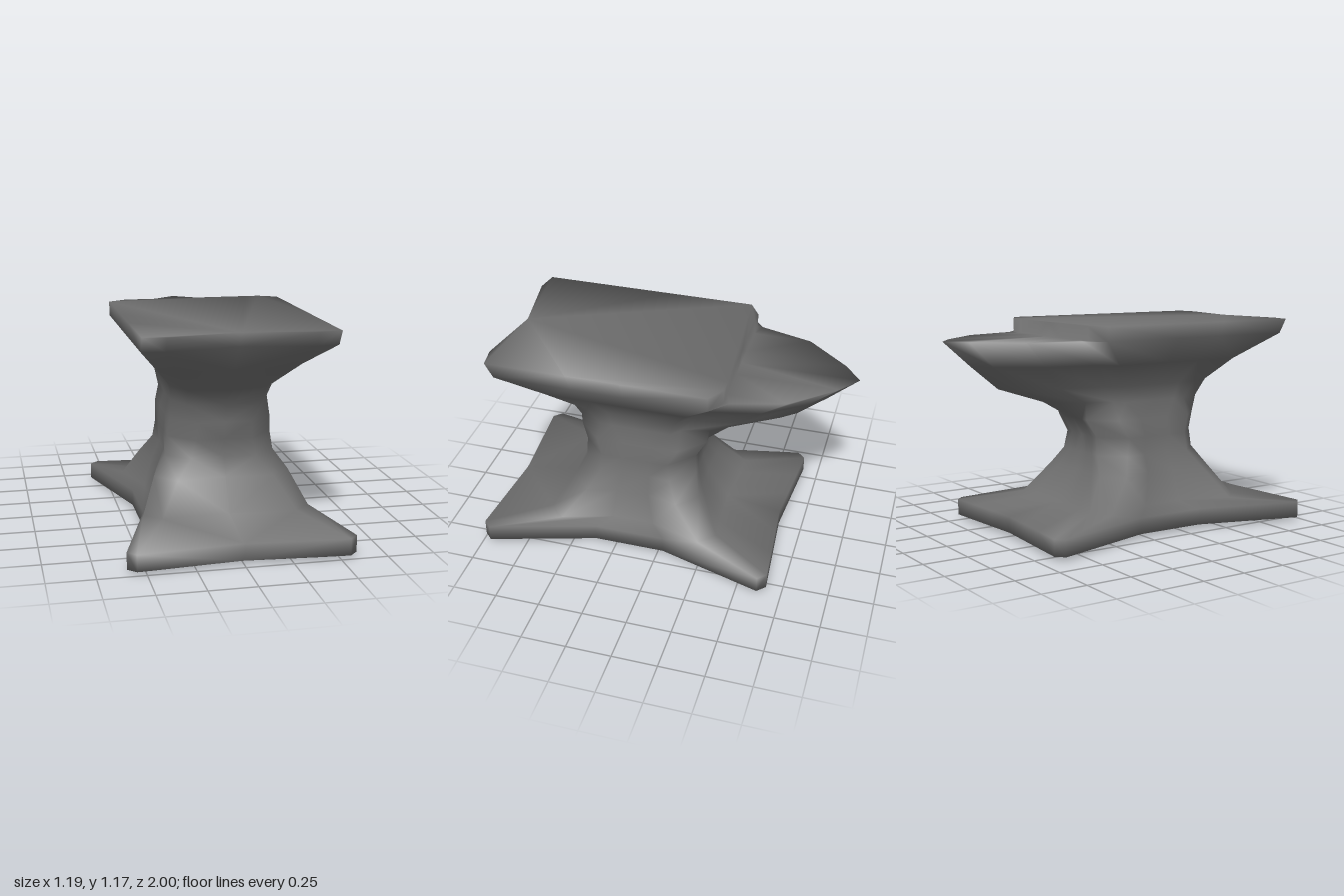
import * as THREE from 'three';
import { mergeVertices } from 'three/addons/utils/BufferGeometryUtils.js';

const STEP_Z = -0.36;

// The two points on the side of an outline, around its middle.
function sidePoints(x, front, back) {
  return [0.38, 0.62].map((t) => [x, front + (back - front) * t]);
}

// Half outlines run front centre -> +x side -> back centre, ten points each.
// Foot and waist: a bevelled rectangle whose edges are drawn in by "pinch".
function footRing(y, w, front, back, pinch) {
  const bevel = 0.13 - 0.085 * pinch;
  const inner = w - bevel;
  const notch = 0.043 * pinch;
  const half = [[0, front - notch], [inner, front], [w, front - bevel],
    ...sidePoints(w - 0.175 * pinch, front, back), [w, back + bevel]];
  for (let i = 0; i <= 3; i++) half.push([inner * (1 - i / 3), back + notch * i / 3]);
  return { y, half };
}

// Head: a block from front to shoulder, tapering to the horn tip behind.
function headRing(y, w, front, middle, shoulder, tip) {
  const bevel = 0.02 + 0.48 * (0.5 - w);
  const horn = (width, along) => [w * width, shoulder + (tip - shoulder) * along];
  const half = [[0, middle], [w * 0.76, front], [w, front - bevel],
    ...sidePoints(w, front, shoulder), [w, shoulder],
    horn(0.8, 0.13), horn(0.64, 0.54), horn(0.24, 0.87), horn(0, 1)];
  return { y, half };
}

// Cut the horn off a head outline at the step.
function cutHorn({ y, half }) {
  return { y, half: half.map(([x, z]) => [x, Math.max(z, STEP_Z)]) };
}

// Mirror a half outline into a full closed ring.
function fullRing({ y, half }) {
  const mirrored = half.slice(1, -1).reverse().map(([x, z]) => [-x, z]);
  return [...half, ...mirrored].map(([x, z]) => new THREE.Vector3(x, y, z));
}

// Smooth normals where every face counts alike, so broad faces shade softly to their rims.
function smoothNormals(geometry) {
  const position = geometry.attributes.position;
  const index = geometry.index.array;
  const sums = Array.from({ length: position.count }, () => new THREE.Vector3());
  const triangle = new THREE.Triangle();
  const normal = new THREE.Vector3();
  for (let i = 0; i < index.length; i += 3) {
    const face = index.slice(i, i + 3);
    triangle.setFromAttributeAndIndices(position, ...face);
    if (triangle.getArea() < 1e-7) continue;
    triangle.getNormal(normal);
    face.forEach((v) => sums[v].add(normal));
  }
  const values = sums.flatMap((v) => v.normalize().toArray());
  geometry.setAttribute('normal', new THREE.Float32BufferAttribute(values, 3));
}

// Loft closed rings from bottom to top, cap both ends and weld.
function loft(rings) {
  const n = rings[0].length;
  const index = [];
  for (let r = 0; r < rings.length - 1; r++) {
    for (let i = 0; i < n; i++) {
      const a = r * n + i, b = r * n + (i + 1) % n, c = b + n, d = a + n;
      // mirror the diagonals so both halves match
      if (i < n / 2) index.push(a, b, c, a, c, d);
      else index.push(a, b, d, b, c, d);
    }
  }
  const cap = (r, up) => {
    const flat = rings[r].map((p) => new THREE.Vector2(p.x, -p.z));
    for (const face of THREE.ShapeUtils.triangulateShape(flat, [])) {
      const corners = face.map((i) => r * n + i);
      index.push(...(up ? corners : corners.reverse()));
    }
  };
  cap(0, false);
  cap(rings.length - 1, true);

  const geometry = new THREE.BufferGeometry().setFromPoints(rings.flat());
  geometry.setIndex(index);
  const welded = mergeVertices(geometry, 1e-4);
  smoothNormals(welded);
  return welded;
}

export function createModel() {
  const group = new THREE.Group();
  group.name = 'anvil';

  const hornTop = headRing(1.09, 0.5, 0.89, 0.83, -0.3, -1);
  const rings = [
    // spreading foot with four pointed corners
    footRing(0, 0.48, 0.94, -0.6, 0.8),
    footRing(0.02, 0.595, 0.998, -0.663, 1),
    footRing(0.11, 0.595, 0.998, -0.663, 1),
    // waist
    footRing(0.16, 0.45, 0.65, -0.33, 0.5),
    footRing(0.33, 0.37, 0.54, -0.2, 0.25),
    footRing(0.43, 0.3, 0.49, -0.16, 0.1),
    footRing(0.53, 0.285, 0.49, -0.15, 0),
    footRing(0.63, 0.275, 0.52, -0.21, 0),
    // flaring head and horn
    headRing(0.73, 0.265, 0.5, 0.54, -0.03, -0.4),
    headRing(0.82, 0.28, 0.56, 0.61, -0.07, -0.68),
    headRing(0.95, 0.385, 0.7, 0.72, -0.15, -0.84),
    hornTop,
    // step and face plate
    cutHorn(hornTop),
    cutHorn(headRing(1.168, 0.5, 0.935, 0.87, -0.3, -1)),
  ].map(fullRing);

  const body = new THREE.Mesh(loft(rings), new THREE.MeshStandardMaterial({ color: 0x707070 }));
  body.name = 'anvilBody';
  group.add(body);
  return group;
}
